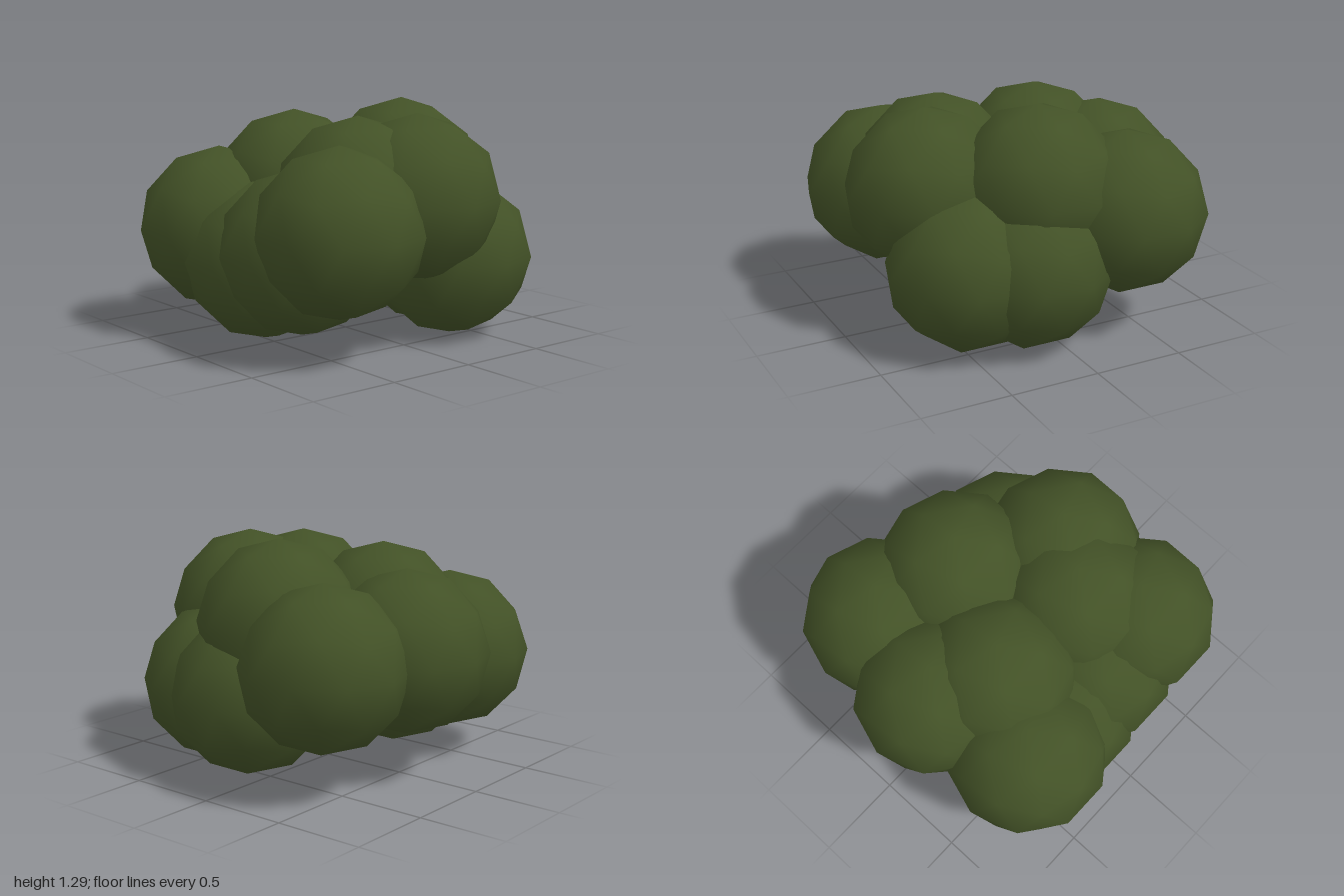
import * as THREE from 'three';

// Bush made of overlapping faceted leaf clumps
const RADIUS = 0.45;
const CLUMPS = [
  // lower layer: x, y, z
  ['frontRightClump', 0.39, 0.452, 0.44],
  ['sideRightClump', 0.5, 0.452, 0.13],
  ['sideLeftBackClump', -0.485, 0.452, -0.1],
  ['sideLeftFrontClump', -0.475, 0.53, 0.22],
  // outer ring
  ['frontLeftClump', -0.482, 0.675, 0.548],
  ['backLeftClump', -0.555, 0.59, -0.43],
  ['backClump', 0.02, 0.695, -0.55],
  ['backRightClump', 0.55, 0.68, -0.418],
  // crown
  ['frontCrownClump', 0.062, 0.805, 0.525],
  ['leftFrontCrownClump', -0.2, 0.793, 0.35],
  ['leftBackCrownClump', -0.17, 0.785, -0.25],
  ['rightCrownClump', 0.385, 0.84, 0.025],
];

export function createModel() {
  const group = new THREE.Group();
  group.name = 'bush';

  const leafGreen = new THREE.MeshStandardMaterial({ color: 0x435227 });
  leafGreen.name = 'leafGreen';

  // Smooth icosphere turned so that a corner points straight up
  const clumpGeometry = new THREE.IcosahedronGeometry(RADIUS, 1);
  clumpGeometry.rotateZ(-Math.atan(2 / (1 + Math.sqrt(5))));

  for (const [name, x, y, z] of CLUMPS) {
    const clump = new THREE.Mesh(clumpGeometry, leafGreen);
    clump.name = name;
    clump.position.set(x, y, z);
    group.add(clump);
  }
  return group;
}
